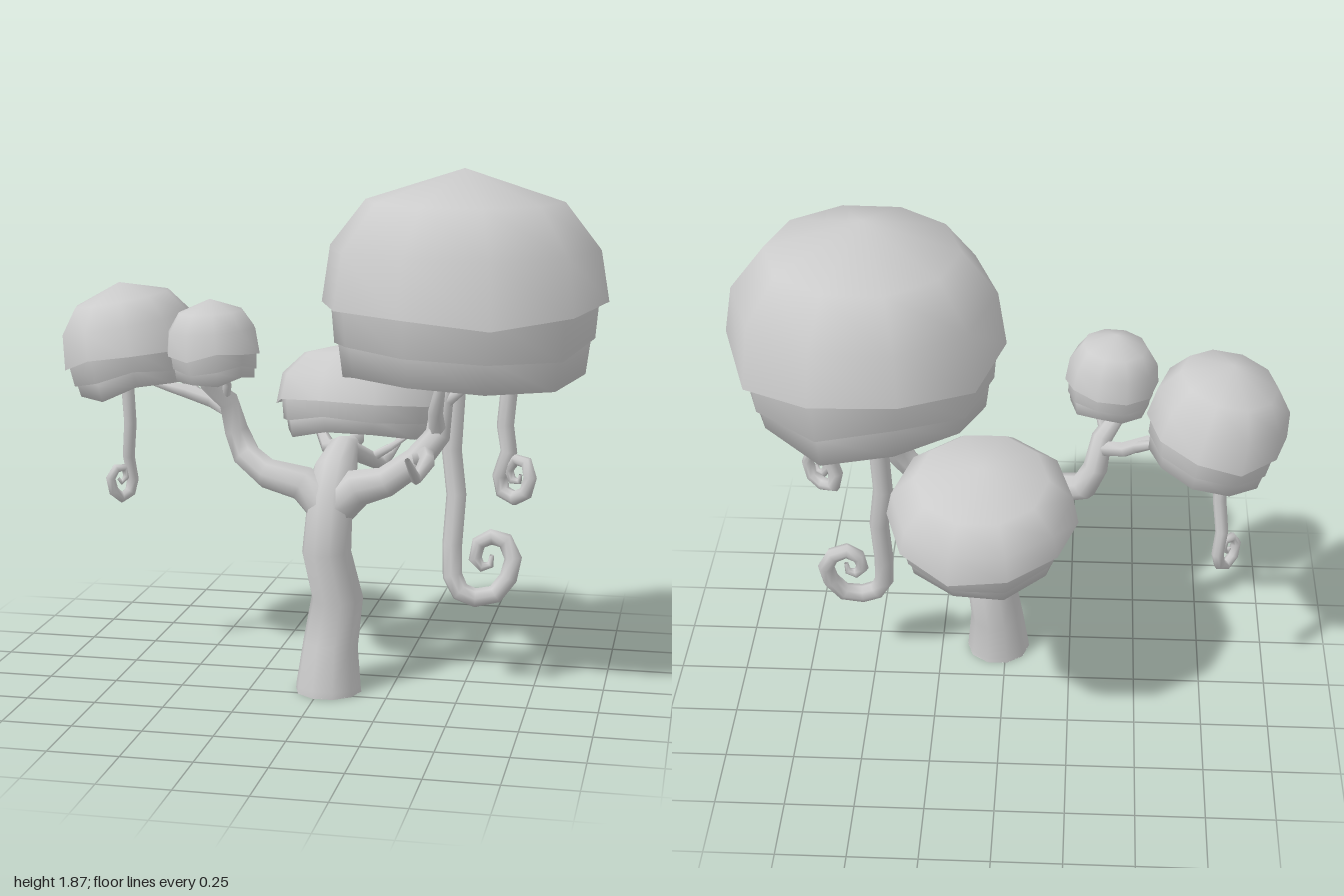
import * as THREE from 'three';
import { mergeVertices, mergeGeometries } from 'three/addons/utils/BufferGeometryUtils.js';

const grey = new THREE.MeshStandardMaterial({ color: 0xcccccc, side: THREE.DoubleSide });
const vec = (p) => new THREE.Vector3(...p);

// Weld seams so the normals run smoothly round the part
function smooth(geometry) {
  geometry.deleteAttribute('uv');
  geometry.deleteAttribute('normal');
  const welded = mergeVertices(geometry, 1e-4);
  welded.computeVertexNormals();
  return welded;
}

// Tapered tube with one ring at each path point; radii are spread evenly over the rings
function limb(name, points, radii, sides = 8) {
  const curve = new THREE.CatmullRomCurve3(points.map(vec), false, 'centripetal');
  curve.getUtoTmapping = (u) => u;
  const rings = points.length - 1;
  const geometry = new THREE.TubeGeometry(curve, rings, 1, sides);
  const pos = geometry.attributes.position;
  const v = new THREE.Vector3();
  for (let i = 0; i <= rings; i++) {
    const centre = vec(points[i]);
    const f = (i / rings) * (radii.length - 1);
    const k = Math.min(Math.floor(f), radii.length - 2);
    const r = THREE.MathUtils.lerp(radii[k], radii[k + 1], f - k);
    for (let j = 0; j <= sides; j++) {
      const n = i * (sides + 1) + j;
      v.fromBufferAttribute(pos, n).sub(centre).multiplyScalar(r).add(centre);
      pos.setXYZ(n, v.x, v.y, v.z);
    }
  }
  const mesh = new THREE.Mesh(smooth(geometry), grey);
  mesh.name = name;
  return mesh;
}

// Canopy bands as [radius, height from the rim], each listed bottom to top
const bands = [
  [[0.5, 0], [0.47, 0.2], [0.345, 0.36], [0, 0.47]],             // cap
  [[0.42, -0.12], [0.455, -0.13], [0.468, 0.02], [0.465, 0.04]], // upper skirt
  [[0.38, -0.2], [0.425, -0.235], [0.44, -0.12], [0.44, -0.09]], // lower skirt
  [[0, -0.12], [0.22, -0.14], [0.38, -0.2]],                     // hollow underside
];

function canopy(name, position, scale, tilt, seed) {
  const parts = bands.map((band, b) => {
    const profile = band.map((p) => new THREE.Vector2(...p));
    const geometry = smooth(new THREE.LatheGeometry(profile, 10, Math.PI / 2));
    const pos = geometry.attributes.position;
    const phase = seed + Math.min(b, 2) * 0.7;
    for (let i = 0; i < pos.count; i++) {
      // Wavy hems, fading out toward the top and the middle
      const x = pos.getX(i), y = pos.getY(i), z = pos.getZ(i);
      const a = Math.atan2(z, x);
      const hem = THREE.MathUtils.clamp((0.2 - y) / 0.2, 0, 1) * Math.min(1, Math.hypot(x, z) / 0.4);
      const wave = 0.022 * Math.sin(3 * a + phase) + 0.014 * Math.sin(4 * a + 2 * phase);
      const swell = 1 + 0.014 * Math.sin(2 * a + seed);
      pos.setXYZ(i, x * swell, y + wave * hem, z * swell);
    }
    geometry.computeVertexNormals();
    return geometry;
  });
  const mesh = new THREE.Mesh(mergeGeometries(parts), grey);
  mesh.name = name;
  mesh.position.set(...position);
  mesh.scale.set(...scale);
  mesh.rotation.set(tilt[0], 0, tilt[1]);
  return mesh;
}

export function createModel() {
  const tree = new THREE.Group();
  tree.name = 'mushroomTree';

  // Trunk, bending back into the rear branch
  tree.add(limb('trunk', [
    [0.03, 0, 0.19], [0.03, 0.02, 0.19], [0.035, 0.17, 0.18], [0.055, 0.34, 0.155], [0.028, 0.52, 0.215],
    [0.03, 0.69, 0.165], [0.04, 0.79, 0.12], [0.05, 0.85, 0.03], [0.06, 0.85, -0.08],
  ], [0.12, 0.118, 0.1, 0.094, 0.089, 0.082, 0.08, 0.055, 0.03], 10));
  const base = new THREE.Mesh(new THREE.CircleGeometry(0.12, 10), grey);
  base.name = 'trunkBase';
  base.rotation.x = Math.PI / 2;
  base.position.set(0.03, 0.002, 0.19);
  tree.add(base);

  // Main branches
  const branches = new THREE.Group();
  branches.name = 'branches';
  branches.add(
    limb('leftBranch', [
      [0.04, 0.66, 0.17], [0.13, 0.745, 0.17], [0.23, 0.77, 0.17], [0.34, 0.85, 0.16],
      [0.41, 0.94, 0.14], [0.42, 1.06, 0.1], [0.45, 1.16, 0.08], [0.46, 1.3, 0.08],
    ], [0.075, 0.068, 0.055, 0.05, 0.045, 0.038, 0.032, 0.02]),
    limb('rightBranch', [
      [0.03, 0.66, 0.17], [-0.07, 0.75, 0.16], [-0.2, 0.78, 0.16], [-0.29, 0.83, 0.1],
      [-0.33, 0.92, 0.09], [-0.35, 1.03, 0.12], [-0.41, 1.1, 0.18], [-0.41, 1.2, 0.21],
    ], [0.075, 0.065, 0.055, 0.052, 0.045, 0.038, 0.03, 0.015]),
  );
  tree.add(branches);

  // Twigs
  const twigs = [
    [0.032, [[-0.34, 0.99, 0.11], [-0.43, 1.02, 0.06], [-0.52, 1.05, 0.07], [-0.6, 1.06, 0.03], [-0.7, 1.08, 0], [-0.74, 1.12, -0.02]]],
    [0.022, [[-0.47, 1.03, 0.06], [-0.54, 1.08, 0.01], [-0.6, 1.12, -0.05]]],
    [0.02, [[-0.36, 1.04, 0.14], [-0.34, 1.1, 0.17], [-0.36, 1.18, 0.22]]],
    [0.038, [[0.34, 0.85, 0.16], [0.38, 0.88, 0.22], [0.4, 0.88, 0.31], [0.38, 0.84, 0.42], [0.36, 0.92, 0.49]]],
    [0.032, [[0.41, 0.94, 0.14], [0.41, 1.03, 0.2], [0.43, 1.12, 0.23], [0.44, 1.27, 0.27]]],
    [0.024, [[0.42, 1.04, 0.11], [0.49, 1.1, 0.11], [0.6, 1.14, 0.07], [0.64, 1.24, 0.05]]],
    [0.034, [[0.05, 0.86, 0.02], [-0.03, 0.83, -0.1], [-0.08, 0.87, -0.2], [-0.12, 0.92, -0.26]]],
    [0.036, [[0.05, 0.86, 0.02], [0.1, 0.81, -0.08], [0.15, 0.76, -0.18], [0.17, 0.78, -0.27], [0.22, 0.86, -0.33]]],
    [0.032, [[0.06, 0.85, -0.05], [0.06, 0.85, -0.2], [0.03, 0.88, -0.32], [0.05, 0.93, -0.38]]],
    [0.02, [[0.12, 0.79, -0.12], [0.19, 0.83, -0.14], [0.26, 0.87, -0.2]]],
  ];
  twigs.forEach(([r, path], i) => tree.add(limb('twig' + (i + 1), path, [r, r * 0.75, r * 0.25], 6)));

  // Hanging vines with curled ends
  tree.add(
    limb('largeVine', [
      [0.44, 1.3, -0.03], [0.45, 1.1, -0.02], [0.44, 0.86, 0], [0.46, 0.7, 0.01], [0.45, 0.52, 0.03],
      [0.455, 0.41, 0.05], [0.485, 0.355, 0.06], [0.54, 0.335, 0.06], [0.61, 0.35, 0.05], [0.655, 0.41, 0.04],
      [0.67, 0.48, 0.03], [0.64, 0.54, 0.02], [0.59, 0.555, 0.03], [0.545, 0.53, 0.03], [0.535, 0.475, 0.04],
      [0.56, 0.445, 0.04], [0.59, 0.455, 0.04], [0.595, 0.49, 0.04],
    ], [0.037, 0.036, 0.036, 0.033, 0.03, 0.024, 0.008]),
    limb('mediumVine', [
      [0.67, 1.3, 0.16], [0.66, 1.1, 0.17], [0.65, 0.99, 0.17], [0.665, 0.9, 0.18], [0.635, 0.81, 0.17],
      [0.645, 0.755, 0.17], [0.69, 0.74, 0.2], [0.73, 0.765, 0.22], [0.745, 0.82, 0.225], [0.73, 0.87, 0.215],
      [0.69, 0.875, 0.19], [0.665, 0.835, 0.18], [0.68, 0.8, 0.185], [0.705, 0.8, 0.2], [0.71, 0.825, 0.205],
    ], [0.03, 0.03, 0.027, 0.025, 0.022, 0.017, 0.006]),
    limb('smallVine', [
      [-0.79, 1.15, -0.05], [-0.78, 1.05, -0.05], [-0.775, 0.9, -0.06], [-0.79, 0.77, -0.08],
      [-0.78, 0.68, -0.095], [-0.79, 0.63, -0.09], [-0.815, 0.612, -0.065], [-0.84, 0.64, -0.045],
      [-0.848, 0.69, -0.035], [-0.83, 0.725, -0.05], [-0.805, 0.725, -0.075], [-0.8, 0.69, -0.08],
      [-0.815, 0.67, -0.065], [-0.825, 0.685, -0.06],
    ], [0.026, 0.024, 0.022, 0.02, 0.018, 0.014, 0.006]),
  );

  // Canopies
  tree.add(
    canopy('largeCanopy', [0.495, 1.4, 0.145], [0.99, 1, 1.02], [0, 0], 0.6),
    canopy('backCanopy', [0.06, 0.965, -0.305], [0.66, 0.5, 0.68], [-0.16, 0], 2.1),
    canopy('rightCanopy', [-0.75, 1.18, -0.02], [0.505, 0.54, 0.575], [0, 0.18], 3.4),
    canopy('smallCanopy', [-0.38, 1.22, 0.21], [0.34, 0.4, 0.34], [0, 0.06], 4.8),
  );
  return tree;
}
